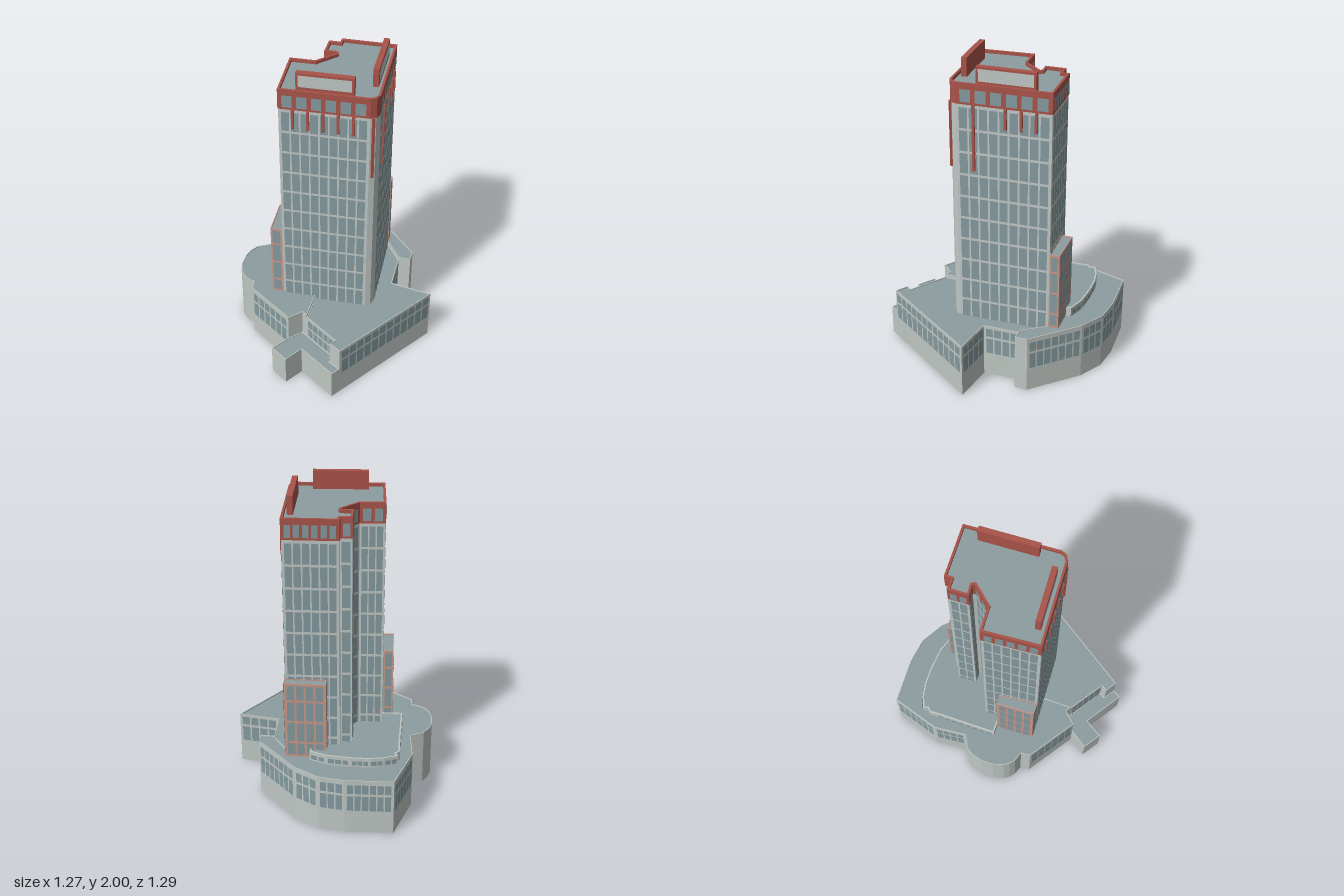
import * as THREE from 'three';
import { mergeGeometries } from 'three/addons/utils/BufferGeometryUtils.js';

const mat = (name, color) => {
  const m = new THREE.MeshStandardMaterial({ color, side: THREE.DoubleSide });
  m.name = name;
  return m;
};

// Plans are [x, z] points, clockwise seen from above.
const PODIUM = [[-0.636, -0.437], [-0.38, -0.589], [-0.226, -0.646], [-0.051, -0.642], [0.305, -0.53],
  [0.342, -0.46], [0.27, -0.426], [0.106, -0.505], [0.116, 0.224], [0.205, 0.394], [0.164, 0.392],
  [0.137, 0.491], [-0.226, 0.456], [-0.26, 0.404], [-0.322, 0.414], [-0.362, 0.405], [-0.4, 0.387], [-0.449, 0.337],
  [-0.493, 0.259], [-0.507, 0.195], [-0.503, 0.139], [-0.452, 0.06], [-0.572, -0.118]];
const WING = [[0.27, -0.426], [0.387, -0.22], [0.637, -0.31], [0.557, 0.47], [0.469, 0.464], [0.473, 0.42],
  [0.205, 0.394], [0.116, 0.224], [0.106, -0.505]];
const TERRACE = [[0.557, 0.47], [0.551, 0.533], [0.267, 0.508], [0.257, 0.642], [0.123, 0.628], [0.137, 0.491],
  [0.164, 0.392], [0.473, 0.42], [0.469, 0.464]];
const UPPER = [[-0.311, 0.19], [-0.51, -0.17], [-0.534, -0.204], [-0.524, -0.235], [-0.55, -0.255],
  [-0.493, -0.324], [-0.425, -0.38], [-0.322, -0.438], [-0.185, -0.497], [-0.075, -0.515], [-0.058, -0.488],
  [0, -0.4], [-0.1, 0.1], [-0.199, 0.128]];
const TOWER = [[0.106, -0.505], [0.405, -0.015], [0.408, 0.02], [0.39, 0.05], [-0.062, 0.33], [-0.25, 0.04],
  [-0.12, -0.04], [-0.086, -0.187], [-0.099, -0.197], [-0.158, -0.16], [-0.219, -0.265], [-0.158, -0.3],
  [-0.178, -0.337]];
const SIDE_BAY = [[-0.062, 0.33], [-0.127, 0.366], [-0.253, 0.16], [-0.199, 0.128]];
const BACK_BAY = [[-0.147, -0.437], [0.077, -0.56], [0.11, -0.507], [-0.11, -0.378]];

// Edge i of a plan: start, direction, outward normal and length
function edge(plan, i) {
  const p = plan[i], q = plan[(i + 1) % plan.length];
  const len = Math.hypot(q[0] - p[0], q[1] - p[1]);
  const dx = (q[0] - p[0]) / len, dz = (q[1] - p[1]) / len;
  return { p, dx, dz, nx: dz, nz: -dx, len };
}

// Place a geometry on an edge: s along it, y up, out from the wall
function onEdge(geo, e, s, y, out) {
  return geo.rotateY(Math.atan2(e.nx, e.nz))
    .translate(e.p[0] + e.dx * s + e.nx * out, y, e.p[1] + e.dz * s + e.nz * out);
}

// Move every edge of a plan inward by w
function inset(plan, w) {
  return plan.map((p, i) => {
    const a = edge(plan, (i + plan.length - 1) % plan.length), b = edge(plan, i);
    const k = w / Math.max(0.3, 1 + a.nx * b.nx + a.nz * b.nz);
    return [p[0] - (a.nx + b.nx) * k, p[1] - (a.nz + b.nz) * k];
  });
}

const vectors = (plan) => plan.map(([x, z]) => new THREE.Vector2(x, -z));

function add(parent, name, geo, material) {
  const mesh = new THREE.Mesh(geo, material);
  mesh.name = name;
  parent.add(mesh);
}

// Walls, sunken roof and parapet of one block, open underneath;
// raised maps edges shared with a neighbour to a higher wall foot
function block(parent, name, plan, y0, y1, wall, roof, { rim = 0.005, drop = 0.008, raised = {} } = {}) {
  const g = new THREE.Group();
  g.name = name;
  parent.add(g);
  const top = y1 - drop - 0.003;
  add(g, name + 'Walls', mergeGeometries(plan.map((_, i) => {
    const e = edge(plan, i), foot = raised[i] ?? y0;
    return onEdge(new THREE.PlaneGeometry(e.len, top - foot), e, e.len / 2, (foot + top) / 2, 0);
  })), wall);
  add(g, name + 'Roof', new THREE.ShapeGeometry(new THREE.Shape(vectors(plan)))
    .rotateX(-Math.PI / 2).translate(0, y1 - drop, 0), roof);
  const ring = new THREE.Shape(vectors(plan));
  ring.holes.push(new THREE.Path(vectors(inset(plan, rim))));
  add(g, name + 'Parapet', new THREE.ExtrudeGeometry(ring, { depth: y1 - top, bevelEnabled: false })
    .rotateX(-Math.PI / 2).translate(0, top, 0), wall);
  return g;
}

// Grid of panes; cols maps edge index to columns, rows lists [bottom, top]
function windows(parent, name, plan, cols, rows, fill, glass) {
  const panes = [];
  for (const [i, n] of Object.entries(cols)) {
    const e = edge(plan, Number(i)), margin = Math.min(0.012, e.len * 0.06);
    const pitch = (e.len - 2 * margin) / n;
    for (let c = 0; c < n; c++) {
      for (const [a, b] of rows) {
        panes.push(onEdge(new THREE.PlaneGeometry(pitch * fill, b - a), e, margin + (c + 0.5) * pitch, (a + b) / 2, 0.003));
      }
    }
  }
  add(parent, name, mergeGeometries(panes), glass);
}

export function createModel() {
  const root = new THREE.Group();
  root.name = 'officeTower';
  const stone = mat('paleStone', 0xbfc7c3);
  const roof = mat('slateRoof', 0x8b9da0);
  const glass = mat('blueGreyGlass', 0x849a9f);
  const red = mat('brickRed', 0xa9544a);
  const pink = mat('terracotta', 0xc9988a);

  // Podium blocks
  const podium = block(root, 'podium', PODIUM, 0, 0.375, stone, roof,
    { raised: { 6: 0.33, 7: 0.33, 8: 0.33, 9: 0.19, 10: 0.19 } });
  windows(podium, 'podiumWindows', PODIUM, { 0: 6, 1: 3, 2: 3, 3: 7, 11: 6, 21: 4, 22: 6 },
    [[0.16, 0.265], [0.282, 0.345]], 0.82, glass);
  const wing = block(root, 'wing', WING, 0, 0.355, stone, roof,
    { raised: { 3: 0.19, 4: 0.19, 5: 0.19, 6: 0.33, 7: 0.33, 8: 0.33 } });
  windows(wing, 'wingWindows', WING, { 0: 4, 1: 4, 2: 12 }, [[0.16, 0.265], [0.282, 0.338]], 0.82, glass);
  windows(wing, 'wingFrontWindows', WING, { 5: 5 }, [[0.205, 0.265], [0.282, 0.338]], 0.82, glass);
  block(root, 'terrace', TERRACE, 0, 0.2, stone, roof, { raised: { 5: 0.185, 6: 0.185, 7: 0.185, 8: 0.185 } });
  const upper = block(root, 'upperStorey', UPPER, 0.36, 0.43, stone, roof, { rim: 0.01 });
  windows(upper, 'upperWindows', UPPER, { 0: 8, 4: 2, 5: 2, 6: 3, 7: 3, 8: 2 }, [[0.38, 0.41]], 0.8, glass);

  // Tower shaft with a regular window grid
  const shaft = block(root, 'shaft', TOWER, 0.34, 1.79, stone, roof);
  const floors = Array.from({ length: 10 }, (_, i) => [0.336 + i * 0.1435, 0.464 + i * 0.1435]);
  windows(shaft, 'shaftWindows', TOWER, { 0: 9, 3: 9, 4: 6, 5: 3, 6: 3, 8: 1, 9: 2, 10: 1, 12: 6 }, floors, 0.82, glass);

  // Red crown storey
  const crownPlan = inset(TOWER, -0.003);
  const crown = block(root, 'crown', crownPlan, 1.775, 1.905, red, roof, { rim: 0.014, drop: 0.02 });
  windows(crown, 'crownWindows', crownPlan, { 0: 6, 3: 6, 4: 5, 5: 2, 6: 2, 8: 1, 9: 2, 10: 1, 12: 6 },
    [[1.79, 1.868]], 0.7, glass);

  // Red fins hanging below the crown: [edge, distance fraction, bottom]
  const fins = [[0, 0.16, 1.65], [0, 0.315, 1.65], [0, 0.48, 1.65], [0, 0.815, 1.365], [2, 0.5, 1.365]];
  for (const x of [0.01, 0.085, 0.16, 0.235, 0.31]) fins.push([3, (0.39 - x) / 0.452, 1.65]);
  add(root, 'fins', mergeGeometries(fins.map(([i, t, y]) => {
    const e = edge(TOWER, i);
    return onEdge(new THREE.BoxGeometry(0.016, 1.778 - y, 0.02), e, e.len * t, (1.778 + y) / 2, 0.004);
  })), red);

  // Low terracotta bays on the side and back
  const bayRows = [[0.385, 0.463], [0.479, 0.608], [0.624, 0.753], [0.769, 0.866]];
  for (const [name, plan, cols] of [['sideBay', SIDE_BAY, { 0: 1, 1: 4, 2: 1 }], ['backBay', BACK_BAY, { 0: 4, 1: 1, 3: 1 }]]) {
    const bay = block(root, name, plan, 0.34, 0.88, pink, roof);
    windows(bay, name + 'Windows', plan, cols, bayRows, 0.78, glass);
  }

  // Rooftop screens with a pale outer panel
  const screens = [['rightScreen', [0.122, -0.394], [0.307, -0.086]], ['frontScreen', [0.281, 0.06], [-0.006, 0.238]]];
  for (const [name, a, b] of screens) {
    const e = edge([a, b], 0);
    const g = new THREE.Group();
    g.name = name;
    root.add(g);
    add(g, 'screenSlab', onEdge(new THREE.BoxGeometry(e.len, 0.12, 0.034), e, e.len / 2, 1.94, 0), red);
    add(g, 'screenPanel', onEdge(new THREE.PlaneGeometry(e.len - 0.03, 0.075), e, e.len / 2, 1.95, 0.02), stone);
  }
  return root;
}
